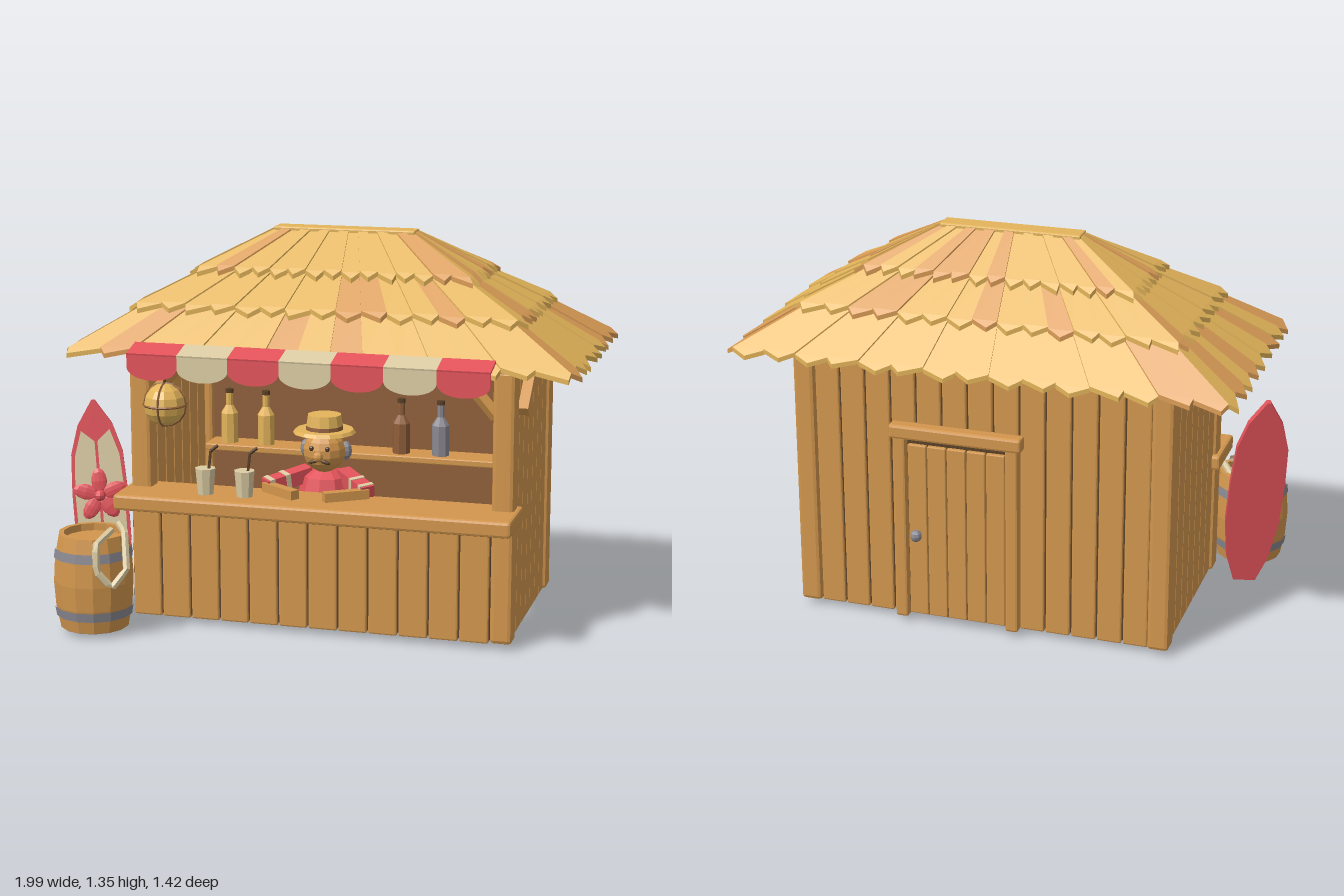
import * as THREE from 'three';
import { mergeGeometries } from 'three/addons/utils/BufferGeometryUtils.js';
import { RoundedBoxGeometry } from 'three/addons/geometries/RoundedBoxGeometry.js';

const mat = (name, color, side = THREE.FrontSide) => {
  const m = new THREE.MeshStandardMaterial({ color, side, flatShading: true });
  m.name = name;
  return m;
};
const V = (x, y, z) => new THREE.Vector3(x, y, z);

export function createModel() {
  const root = new THREE.Group();
  const hut = new THREE.Group();
  hut.name = 'hut';
  hut.rotation.y = -0.349;
  hut.position.set(0.02, 0, -0.005);
  root.add(hut);

  const straw = mat('straw', 0xe3b45a), strawDark = mat('orange straw', 0xda9c56);
  const wood = mat('wood', 0xd2964d), darkWood = mat('dark wood', 0x8f5e39);
  const red = mat('red', 0xe2535a), cream = mat('cream', 0xdccca4, THREE.DoubleSide);
  const grey = mat('grey', 0x8b8991), dark = mat('dark brown', 0x5a4027);

  const add = (parent, name, geo, m, x = 0, y = 0, z = 0) => {
    const o = new THREE.Mesh(geo, m);
    o.name = name;
    o.position.set(x, y, z);
    parent.add(o);
    return o;
  };
  const box = (name, w, h, d, m, x, y, z, parent = hut) =>
    add(parent, name, new RoundedBoxGeometry(w, h, d, 1, Math.min(w, h, d) * 0.18), m, x, y, z);
  const bar = (name, a, b, w, m, parent = hut) => {
    const o = add(parent, name, new THREE.BoxGeometry(w, w, a.distanceTo(b)), m);
    o.position.copy(a).add(b).multiplyScalar(0.5);
    o.quaternion.setFromUnitVectors(V(0, 0, 1), b.clone().sub(a).normalize());
    return o;
  };
  const lathe = (pts, n = 10) => new THREE.LatheGeometry(pts.map(p => new THREE.Vector2(...p)), n);
  let seed = 7;
  const rnd = () => (seed = (seed * 16807) % 2147483647) / 2147483647;

  // Corner posts and diagonal braces
  const A = 0.668, B = 0.366;
  for (const s of [-1, 1]) {
    for (const t of [-1, 1]) box('cornerPost', 0.075, 0.93, 0.075, wood, s * (A - 0.037), 0.485, t * (B - 0.037));
    bar('sideBrace', V(s * (A + 0.01), 0.80, 0.275), V(s * (A + 0.01), 0.95, 0.09), 0.035, wood);
    bar('frontBrace', V(s * 0.6, 0.79, 0.33), V(s * 0.47, 0.94, 0.33), 0.032, wood);
  }
  box('frontHeader', 1.2, 0.04, 0.05, wood, 0, 0.95, 0.32);

  // Plank walls around a thin dark core
  const wall = (name, len, y0, y1, n, x, z, turn) => {
    const g = new THREE.Group();
    g.name = name;
    g.position.set(x, 0, z);
    g.rotation.y = turn;
    hut.add(g);
    const w = len / n, h = y1 - y0;
    add(g, 'gapBacking', new THREE.BoxGeometry(len, h - 0.02, 0.012), dark, 0, (y0 + y1) / 2, 0);
    for (let i = 0; i < n; i++)
      box('plank', w - 0.006, h, 0.032, wood, (i + 0.5) * w - len / 2, (y0 + y1) / 2, 0, g);
  };
  wall('backWall', 1.19, 0.02, 0.935, 13, 0, -0.337, 0);
  wall('leftWall', 0.6, 0.02, 0.935, 7, -0.64, 0, Math.PI / 2);
  wall('rightWall', 0.6, 0.02, 0.935, 7, 0.64, 0, Math.PI / 2);
  wall('counterFront', 1.26, 0.02, 0.43, 12, -0.037, 0.352, 0);
  add(hut, 'innerBackPanel', new THREE.BoxGeometry(1.22, 0.91, 0.01), darkWood, 0, 0.48, -0.316);
  add(hut, 'innerCounterPanel', new THREE.BoxGeometry(1.22, 0.4, 0.01), darkWood, 0, 0.225, 0.325);
  box('counterTop', 1.37, 0.055, 0.225, wood, 0, 0.453, 0.387);
  box('shelf', 1.18, 0.025, 0.12, wood, 0, 0.495, -0.25);

  // Back door
  const door = new THREE.Group();
  door.name = 'door';
  door.position.set(0.08, 0, -0.36);
  hut.add(door);
  add(door, 'doorBacking', new THREE.BoxGeometry(0.37, 0.66, 0.008), dark, 0, 0.36, 0.004);
  for (let i = 0; i < 5; i++) box('doorPlank', 0.066, 0.635, 0.02, wood, (i - 2) * 0.07, 0.35, -0.004, door);
  for (const s of [-1, 1]) box('doorJamb', 0.045, 0.69, 0.045, wood, s * 0.2, 0.365, -0.006, door);
  box('doorLintel', 0.47, 0.05, 0.055, wood, 0, 0.715, -0.008, door);
  add(door, 'doorKnob', new THREE.SphereGeometry(0.021, 8, 6), grey, 0.14, 0.34, -0.034);

  // Flat ceiling under the thatch
  add(hut, 'ceiling', new THREE.BoxGeometry(1.7, 0.008, 0.83), wood, 0, 0.955, 0);

  // Thatched hip roof: three overlapping tiers of pointed strips
  const prism = top => {
    const low = top.map(p => p.clone().setY(p.y - 0.016)), out = [], n = top.length;
    const tri = (...p) => p.forEach(q => out.push(q.x, q.y, q.z));
    for (let i = 1; i < n - 1; i++) {
      tri(top[0], top[i], top[i + 1]);
      tri(low[0], low[i + 1], low[i]);
    }
    for (let i = 0; i < n; i++) {
      const j = (i + 1) % n;
      tri(top[i], low[i], low[j]);
      tri(top[i], low[j], top[j]);
    }
    const g = new THREE.BufferGeometry();
    g.setAttribute('position', new THREE.Float32BufferAttribute(out, 3));
    g.computeVertexNormals();
    return g;
  };
  const eave = [[-0.87, 0.436], [0.87, 0.436], [0.87, -0.436], [-0.87, -0.436]];
  const ridge = [[-0.25, 0.034], [0.25, 0.034], [0.25, -0.034], [-0.25, -0.034]];
  const tiers = [[0.02, 0.38, 0.004], [0.34, 0.69, 0.022], [0.64, 1, 0.022]];
  const strips = [[], []];
  for (let k = 0; k < 4; k++) {
    const n = k % 2 ? 9 : 15, k2 = (k + 1) % 4, mix = THREE.MathUtils.lerp;
    const at = (s, t, lift) => V(
      mix(mix(eave[k][0], eave[k2][0], s), mix(ridge[k][0], ridge[k2][0], s), t),
      0.957 + 0.383 * t + lift,
      mix(mix(eave[k][1], eave[k2][1], s), mix(ridge[k][1], ridge[k2][1], s), t));
    for (const [t0, t1, lift] of tiers)
      for (let i = 0; i < n; i++) {
        const a = i / n, b = (i + 1) / n, tip = a + (b - a) * (0.25 + 0.5 * rnd());
        const y = lift + (i % 2) * 0.006;
        strips[rnd() < 0.25 ? 1 : 0].push(prism([
          at(a, t0, y), at(tip, t0 - 0.05, y), at(b, t0, y), at(b, t1, y - lift), at(a, t1, y - lift)]));
      }
  }
  add(hut, 'thatch', mergeGeometries(strips[0]), straw);
  add(hut, 'orangeThatch', mergeGeometries(strips[1]), strawDark);
  box('ridgeCap', 0.5, 0.03, 0.075, straw, 0, 1.336, 0);

  // Striped awning with rounded flaps
  const w = 1.235 / 7;
  const flap = new THREE.Shape();
  flap.moveTo(-w / 2, 0.968);
  flap.lineTo(-w / 2, 0.925);
  flap.absellipse(0, 0.925, w / 2, 0.042, Math.PI, 2 * Math.PI, false);
  flap.lineTo(w / 2, 0.968);
  const flapGeo = new THREE.ExtrudeGeometry(flap, { depth: 0.008, bevelEnabled: false, curveSegments: 8 });
  for (let i = 0; i < 7; i++) {
    const m = i % 2 ? cream : red, x = (i - 3) * w - 0.005;
    add(hut, 'awningFlap', flapGeo, m, x, 0, 0.495);
    add(hut, 'awningTop', new THREE.BoxGeometry(w, 0.008, 0.09), m, x, 0.98, 0.46).rotation.x = 0.26;
  }

  // Round hanging lantern
  const lantern = new THREE.Group();
  lantern.name = 'lantern';
  lantern.position.set(-0.53, 0.78, 0.39);
  hut.add(lantern);
  add(lantern, 'lanternGlobe', new THREE.SphereGeometry(0.074, 10, 8), straw);
  for (let i = 0; i < 2; i++)
    add(lantern, 'lanternRib', new THREE.TorusGeometry(0.074, 0.004, 4, 16), darkWood).rotation.y = i * Math.PI / 2;
  add(lantern, 'lanternBelt', new THREE.TorusGeometry(0.074, 0.004, 4, 16), darkWood).rotation.x = Math.PI / 2;
  add(lantern, 'lanternCord', new THREE.CylinderGeometry(0.005, 0.005, 0.13, 6), dark, 0, 0.13, 0);

  // Bottles on the shelf
  const bottle = lathe([[0, 0], [0.032, 0], [0.032, 0.11], [0.013, 0.14], [0.013, 0.19], [0, 0.19]], 8);
  [[-0.51, straw], [-0.37, straw], [0.14, darkWood], [0.285, grey]].forEach(([x, m]) => {
    add(hut, 'bottle', bottle, m, x, 0.508, -0.24);
    add(hut, 'bottleCap', new THREE.CylinderGeometry(0.015, 0.015, 0.015, 8), dark, x, 0.7, -0.24);
  });
  // Cups with bent straws
  for (const x of [-0.386, -0.247]) {
    add(hut, 'cup', new THREE.CylinderGeometry(0.036, 0.028, 0.09, 8), cream, x, 0.525, 0.4);
    bar('drinkingStraw', V(x + 0.005, 0.5, 0.4), V(x + 0.02, 0.63, 0.4), 0.008, dark);
    bar('drinkingStraw', V(x + 0.02, 0.63, 0.4), V(x + 0.045, 0.65, 0.4), 0.008, dark);
  }

  // Barkeeper leaning on the counter
  const man = new THREE.Group();
  man.name = 'barkeeper';
  man.position.set(-0.02, 0, 0.19);
  hut.add(man);
  add(man, 'shirt', lathe([[0, 0.26], [0.06, 0.27], [0.09, 0.33], [0.1, 0.45], [0.08, 0.52], [0.03, 0.55], [0, 0.55]]), red);
  add(man, 'head', new THREE.SphereGeometry(0.074, 12, 9), wood, 0, 0.61, 0.02);
  add(man, 'nose', new THREE.SphereGeometry(0.018, 8, 6), wood, 0, 0.605, 0.1);
  add(man, 'hatBrim', new THREE.CylinderGeometry(0.1, 0.108, 0.012, 14), straw, 0, 0.68, 0.02);
  add(man, 'hatBand', new THREE.CylinderGeometry(0.064, 0.066, 0.014, 12), darkWood, 0, 0.692, 0.02);
  add(man, 'hatCrown', new THREE.CylinderGeometry(0.058, 0.064, 0.04, 12), straw, 0, 0.717, 0.02);
  for (const s of [-1, 1]) {
    add(man, 'sideHair', new THREE.SphereGeometry(0.022, 8, 6), grey, s * 0.07, 0.61, 0).scale.y = 1.5;
    add(man, 'eye', new THREE.SphereGeometry(0.009, 6, 5), dark, s * 0.028, 0.63, 0.085);
    const tash = add(man, 'moustache', new THREE.SphereGeometry(0.017, 8, 5), dark, s * 0.02, 0.585, 0.086);
    tash.scale.set(1.2, 0.4, 0.5);
    tash.rotation.z = -s * 0.3;
    const shoulder = V(s * 0.06, 0.525, 0), elbow = V(s * 0.18, 0.495, 0.12);
    bar('upperArm', shoulder, elbow, 0.05, red, man);
    for (const t of [0.5, 0.85])
      bar('sleeveStripe', shoulder.clone().lerp(elbow, t), shoulder.clone().lerp(elbow, t + 0.1), 0.054, cream, man);
    bar('forearm', elbow, V(s * 0.05, 0.495, 0.21), 0.034, wood, man);
  }

  // Barrel with hoops
  const barrel = new THREE.Group();
  barrel.name = 'barrel';
  barrel.position.set(-0.864, 0.02, 0.215);
  root.add(barrel);
  const radius = y => 0.138 - 0.021 * ((y - 0.165) / 0.165) ** 2;
  const ring = [0, 0.08, 0.165, 0.25, 0.33].map(y => [radius(y), y]);
  add(barrel, 'staves', lathe([...ring, [0.1, 0.33], [0.1, 0.305], [0, 0.305]], 14), wood);
  add(barrel, 'barrelBottom', new THREE.CylinderGeometry(0.114, 0.114, 0.01, 14), grey, 0, 0.003, 0);
  for (const y of [0.06, 0.265])
    add(barrel, 'hoop', lathe([[radius(y - 0.016) + 0.004, y - 0.016], [radius(y + 0.016) + 0.004, y + 0.016]], 14), grey);

  // Rope draped over the barrel
  const rope = [V(-0.775, 0.36, 0.17), V(-0.755, 0.367, 0.29), V(-0.75, 0.25, 0.345),
    V(-0.8, 0.19, 0.36), V(-0.85, 0.25, 0.366), V(-0.85, 0.34, 0.355), V(-0.8, 0.367, 0.27)];
  const ropePath = new THREE.CurvePath();
  for (let i = 0; i < rope.length - 1; i++) ropePath.add(new THREE.LineCurve3(rope[i], rope[i + 1]));
  add(root, 'rope', new THREE.TubeGeometry(ropePath, 24, 0.013, 6), cream);

  // Surfboard leaning back beside the hut
  const board = new THREE.Group();
  board.name = 'surfboard';
  board.position.set(-0.82, 0.004, 0.015);
  board.rotation.set(-0.16, 0, 0.06);
  root.add(board);
  const outline = (rows, depth) => {
    const pts = [...rows, ...rows.map(([x, y]) => [-x, y]).reverse()].map(p => new THREE.Vector2(...p));
    return new THREE.ExtrudeGeometry(new THREE.Shape(pts), { depth, bevelEnabled: false });
  };
  add(board, 'boardBody', outline([[0.04, 0], [0.075, 0.1], [0.096, 0.25], [0.097, 0.42], [0.09, 0.56], [0.06, 0.66], [0.006, 0.745]], 0.026), red, 0, 0, -0.013);
  for (const s of [-1, 1]) {
    const p = [[0.005, 0.06], [0.06, 0.1], [0.084, 0.25], [0.086, 0.42], [0.078, 0.55], [0.05, 0.64], [0.005, 0.6]];
    const shape = new THREE.Shape(p.map(([x, y]) => new THREE.Vector2(s * x, y)));
    add(board, 'boardPanel', new THREE.ExtrudeGeometry(shape, { depth: 0.005, bevelEnabled: false }), cream, 0, 0, 0.012);
  }
  for (let i = 0; i < 5; i++) {
    const a = i * Math.PI * 0.4 + Math.PI / 2;
    const petal = add(board, 'flowerPetal', new THREE.SphereGeometry(0.042, 8, 6), red, Math.cos(a) * 0.05, 0.41 + Math.sin(a) * 0.05, 0.022);
    petal.scale.set(1.1, 0.65, 0.2);
    petal.rotation.z = a;
  }
  add(board, 'flowerCentre', new THREE.SphereGeometry(0.02, 8, 6), red, 0, 0.41, 0.03);
  return root;
}
